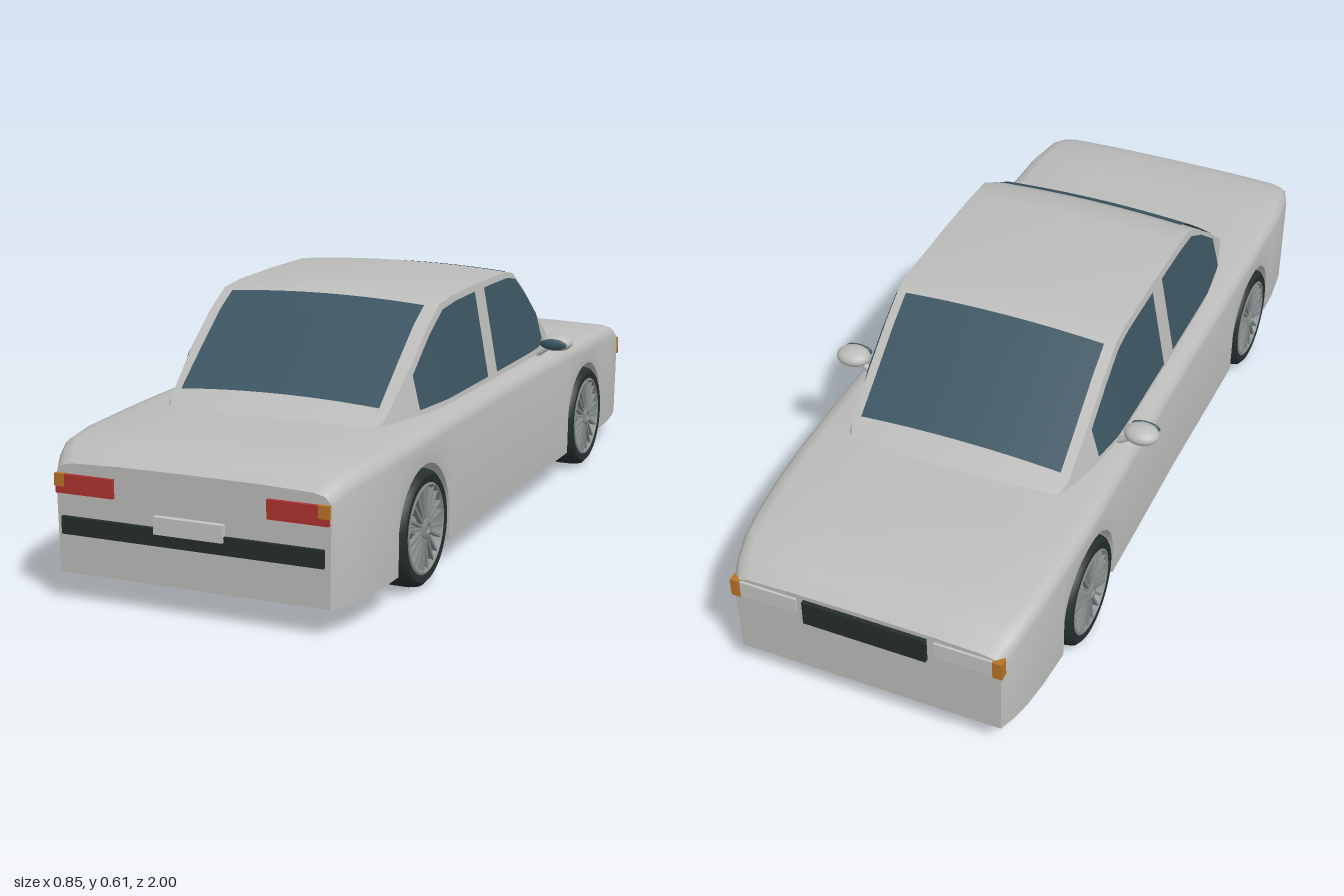
import * as THREE from 'three';
import { toCreasedNormals } from 'three/addons/utils/BufferGeometryUtils.js';

const mat = (name, color, side = THREE.FrontSide) => {
  const m = new THREE.MeshStandardMaterial({ color, side });
  m.name = name;
  return m;
};

// Piecewise-linear lookup through [z, value] pairs sorted by z
const curve = (pts) => (z) => {
  if (z <= pts[0][0]) return pts[0][1];
  for (let i = 1; i < pts.length; i++) {
    const [z0, a] = pts[i - 1], [z1, b] = pts[i];
    if (z <= z1) return a + ((b - a) * (z - z0)) / (z1 - z0);
  }
  return pts[pts.length - 1][1];
};

const toGeometry = (pos, idx) => {
  const g = new THREE.BufferGeometry();
  g.setAttribute('position', new THREE.Float32BufferAttribute(pos, 3));
  g.setIndex(idx);
  return g;
};

// Skin over half-sections ([x, y] from bottom centre to top centre), mirrored, capped at both ends
function loft(rows, crease) {
  const pos = [], idx = [];
  const n = rows[0].pts.length * 2 - 2;
  for (const { z, pts } of rows) {
    const left = pts.slice(1, -1).reverse().map(([x, y]) => [-x, y]);
    for (const [x, y] of [...pts, ...left]) pos.push(x, y, z);
  }
  for (let i = 0; i < rows.length - 1; i++) {
    for (let j = 0; j < n; j++) {
      const k = (j + 1) % n, a = i * n + j, b = i * n + k, c = b + n, d = a + n;
      idx.push(a, b, c, a, c, d);
    }
  }
  const last = rows.length - 1;
  for (const r of [0, last]) {
    const pts = rows[r].pts, c = pos.length / 3;
    pos.push(0, (pts[0][1] + pts[pts.length - 1][1]) / 2, rows[r].z);
    for (let j = 0; j < n; j++) {
      const a = r * n + j, b = r * n + ((j + 1) % n);
      if (r) idx.push(c, a, b); else idx.push(c, b, a);
    }
  }
  return toCreasedNormals(toGeometry(pos, idx), crease);
}

// Thin sheet following fn(u, v) => [x, y, z]
function sheet(fn, nu, nv) {
  const pos = [], idx = [];
  for (let i = 0; i <= nu; i++) for (let j = 0; j <= nv; j++) pos.push(...fn(i / nu, j / nv));
  for (let i = 0; i < nu; i++) {
    for (let j = 0; j < nv; j++) {
      const a = i * (nv + 1) + j, d = a + nv + 1;
      idx.push(a, a + 1, d + 1, a, d + 1, d);
    }
  }
  const g = toGeometry(pos, idx);
  g.computeVertexNormals();
  return g;
}

const FLOOR = 0.065, WHEEL_Y = 0.135, WHEEL_Z = 0.58, ARCH = 0.148;

// Body height and half-width along z
const deck = curve([[-0.99, 0.285], [-0.95, 0.312], [-0.9, 0.33], [-0.83, 0.341], [-0.7, 0.352], [-0.5, 0.359],
  [0, 0.362], [0.5, 0.362], [0.8, 0.357], [0.9, 0.351], [0.95, 0.338], [0.985, 0.316]]);
const flank = curve([[-0.99, 0.33], [-0.95, 0.345], [-0.9, 0.356], [-0.8, 0.368], [-0.6, 0.375], [0, 0.371],
  [0.6, 0.376], [0.8, 0.373], [0.9, 0.362], [0.95, 0.345], [0.985, 0.33]]);

// Cabin edge height, base half-width and roof half-width along z
const eave = curve([[-0.55, 0.345], [-0.5, 0.375], [-0.4, 0.452], [-0.3, 0.53], [-0.22, 0.583], [-0.16, 0.594],
  [0.03, 0.597], [0.2, 0.595], [0.28, 0.588], [0.36, 0.543], [0.45, 0.475], [0.58, 0.372], [0.63, 0.345]]);
const sill = curve([[-0.55, 0.265], [-0.5, 0.288], [-0.4, 0.315], [-0.3, 0.33], [0.33, 0.33], [0.45, 0.316],
  [0.55, 0.295], [0.63, 0.255]]);
const roofHalf = (z) => Math.min(0.283, sill(z) - 0.008);
const roofY = (x, z) => eave(z) + 0.013 * (1 - (x / roofHalf(z)) ** 2);
const cabinX = (y, z) => THREE.MathUtils.lerp(sill(z), roofHalf(z), (y - 0.335) / (eave(z) - 0.335));

function bodyGeometry() {
  // Stations [z, lower edge of the side]; the edge rises over each wheel arch
  const stations = [-0.99, -0.97, -0.95, -0.9, -0.83].map((z) => [z, FLOOR]);
  for (const zc of [-WHEEL_Z, WHEEL_Z]) {
    stations.push([zc - ARCH, FLOOR]);
    for (let k = 0; k <= 16; k++) {
      const a = (Math.PI * k) / 16;
      stations.push([zc - ARCH * Math.cos(a), WHEEL_Y + ARCH * Math.sin(a)]);
    }
    stations.push([zc + ARCH, FLOOR]);
    if (zc < 0) for (const z of [-0.3, 0, 0.3]) stations.push([z, FLOOR]);
  }
  for (const z of [0.8, 0.9, 0.93, 0.95, 0.97, 0.985]) stations.push([z, FLOOR]);
  return loft(stations.map(([z, low]) => {
    const t = deck(z), w = flank(z);
    return { z, pts: [[0, FLOOR], [0.27, FLOOR], [0.27, low], [w - 0.004, low], [w, t - 0.035],
      [w - 0.004, t - 0.02], [w - 0.015, t - 0.008], [w - 0.04, t - 0.002], [0.17, t + 0.002], [0, t + 0.003]] };
  }), 0.6);
}

function cabinGeometry() {
  const zs = [-0.55, -0.5, -0.4, -0.3, -0.22, -0.16, 0.03, 0.2, 0.28, 0.36, 0.45, 0.58, 0.63];
  return loft(zs.map((z) => {
    const h = roofHalf(z);
    const top = [1, 0.93, 0.75, 0.5, 0.25, 0].map((f) => [h * f, roofY(h * f, z)]);
    return { z, pts: [[0, 0.335], [sill(z), 0.335], ...top] };
  }), 0.6);
}

// Wheel with its outer face towards +x
function makeWheel(m) {
  const wheel = new THREE.Group();
  const lathe = (name, pts, material) => {
    const g = new THREE.LatheGeometry(pts.map(([r, y]) => new THREE.Vector2(r, y)), 40);
    const mesh = new THREE.Mesh(toCreasedNormals(g.rotateZ(-Math.PI / 2), 0.7), material);
    mesh.name = name;
    wheel.add(mesh);
  };
  lathe('tyre', [[0.1, -0.045], [0.122, -0.047], [0.132, -0.038], [0.135, -0.02], [0.135, 0.02], [0.132, 0.038],
    [0.122, 0.047], [0.104, 0.044], [0.1, 0.038], [0.1, -0.045]], m.rubber);
  lathe('rim', [[0.094, -0.04], [0.1005, -0.04], [0.1005, 0.04], [0.105, 0.046], [0.1, 0.048], [0.094, 0.04],
    [0.094, -0.04]], m.rim);
  lathe('brakeDisc', [[0, -0.01], [0.082, -0.01], [0.082, 0.005], [0, 0.005]], m.rubber);
  lathe('hub', [[0.024, 0], [0.024, 0.046], [0.018, 0.05], [0.012, 0.05], [0.01, 0.046], [0, 0.046]], m.rim);
  // Ten forked spokes
  for (let i = 0; i < 10; i++) {
    for (const s of [-1, 1]) {
      const spoke = new THREE.Mesh(new THREE.BoxGeometry(0.012, 0.08, 0.006), m.rim);
      spoke.geometry.rotateX(s * 0.13).translate(0.039, 0.058, s * 0.008).rotateX((i * Math.PI) / 5);
      spoke.name = 'spoke';
      wheel.add(spoke);
    }
  }
  return wheel;
}

export function createModel() {
  const m = {
    paint: mat('silverPaint', 0xbcbcba),
    glass: mat('tintedGlass', 0x3c5662, THREE.DoubleSide),
    rubber: mat('blackRubber', 0x262e2e),
    rim: mat('rimMetal', 0x858b8c),
    red: mat('redLens', 0xb0332d),
    amber: mat('amberLens', 0xb87424),
    lamp: mat('clearLens', 0xc4c4c2),
  };
  const car = new THREE.Group();
  car.name = 'car';
  const add = (name, geometry, material) => {
    const mesh = new THREE.Mesh(geometry, material);
    mesh.name = name;
    car.add(mesh);
    return mesh;
  };
  const box = (name, material, x0, x1, y0, y1, z0, z1) => add(name,
    new THREE.BoxGeometry(x1 - x0, y1 - y0, z1 - z0).translate((x0 + x1) / 2, (y0 + y1) / 2, (z0 + z1) / 2), material);

  add('body', bodyGeometry(), m.paint);
  add('cabin', cabinGeometry(), m.paint);

  // Sloping screens
  const screen = (name, z0, z1, half) => add(name, sheet((u, v) => {
    const z = THREE.MathUtils.lerp(z0, z1, u), x = (1 - 2 * v) * half;
    return [x, roofY(x, z) + 0.005, z + Math.sign(z) * 0.003];
  }, 26, 12), m.glass);
  screen('rearScreen', 0.298, 0.56, 0.252);
  screen('windscreen', -0.488, -0.23, 0.258);

  // Side windows, following the cabin flank
  for (const s of [-1, 1]) {
    for (const [name, z0, z1] of [['rearSideWindow', 0.068, 0.46], ['frontSideWindow', -0.385, 0.005]]) {
      add(name, sheet((u, v) => {
        const z = THREE.MathUtils.lerp(z0, z1, u);
        const y = THREE.MathUtils.lerp(0.374, Math.min(0.582, eave(z) - 0.014), v);
        return [s * (cabinX(y, z) + 0.004), y, z];
      }, 24, 4), m.glass);
    }

    // Door mirrors
    const housing = add('mirrorHousing', new THREE.SphereGeometry(1, 24, 16), m.paint);
    housing.scale.set(0.043, 0.022, 0.036);
    housing.position.set(s * 0.381, 0.396, -0.292);
    const glass = add('mirrorGlass', new THREE.SphereGeometry(1, 24, 12), m.glass);
    glass.scale.set(0.036, 0.014, 0.008);
    glass.position.set(s * 0.381, 0.396, -0.262);
    const arm = add('mirrorArm', new THREE.CylinderGeometry(0.007, 0.009, 0.05, 10), m.paint);
    arm.position.set(s * 0.345, 0.373, -0.295);
    arm.rotation.z = -s * 1.0;

    // Lamps
    const lamp = (name, material, a, b, y0, y1, z0, z1) =>
      box(name, material, Math.min(s * a, s * b), Math.max(s * a, s * b), y0, y1, z0, z1);
    lamp('tailLamp', m.red, 0.185, 0.327, 0.247, 0.29, 0.975, 0.994);
    lamp('rearIndicator', m.amber, 0.305, 0.329, 0.263, 0.291, 0.98, 0.996);
    lamp('headLamp', m.lamp, 0.17, 0.312, 0.232, 0.274, -0.996, -0.98);
    lamp('frontIndicator', m.amber, 0.312, 0.335, 0.23, 0.276, -0.998, -0.975);

    // Wheels
    for (const [name, z] of [['frontWheel', -WHEEL_Z], ['rearWheel', WHEEL_Z]]) {
      const wheel = makeWheel(m);
      wheel.name = name;
      wheel.position.set(s * 0.329, WHEEL_Y, z);
      if (s < 0) wheel.rotation.y = Math.PI;
      car.add(wheel);
    }
  }

  // End trim
  box('rearBumperStrip', m.rubber, -0.315, 0.315, 0.155, 0.195, 0.975, 0.994);
  box('rearPlate', m.lamp, -0.083, 0.083, 0.183, 0.222, 0.98, 1.0);
  box('grille', m.rubber, -0.152, 0.152, 0.212, 0.276, -1.0, -0.98);
  return car;
}
